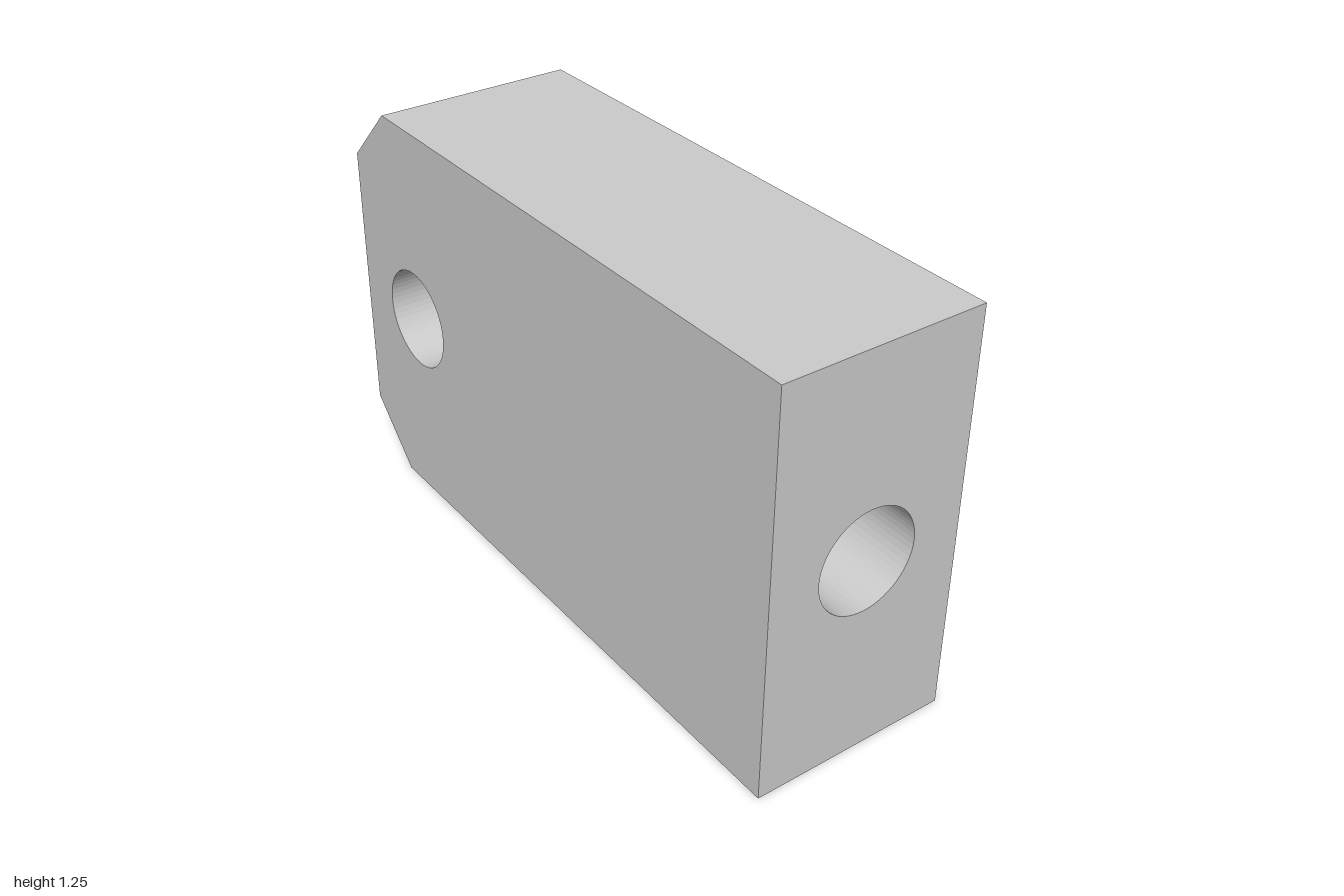
import * as THREE from 'three';
import { mergeGeometries } from 'three/addons/utils/BufferGeometryUtils.js';

const HEIGHT = 1.25, DEPTH = 0.625, CHAMFER = 0.1875;
const MID = HEIGHT / 2, RADIUS = 0.157;
const BORE_END = 0; // x where the blind bore stops

// Outline with one round hole, extruded
function drilledPlate(outline, holeX, depth) {
  const shape = new THREE.Shape(outline.map(([x, y]) => new THREE.Vector2(x, y)));
  const hole = new THREE.Path();
  hole.absarc(holeX, MID, RADIUS, 0, Math.PI * 2, true);
  shape.holes.push(hole);
  return new THREE.ExtrudeGeometry(shape, { depth, bevelEnabled: false, curveSegments: 28 });
}

// Remove the triangles lying in the plane where the two halves join
function openAtJoin(geometry) {
  const g = geometry.index ? geometry.toNonIndexed() : geometry;
  const p = g.attributes.position, keep = [];
  for (let i = 0; i < p.count; i += 3) {
    const inJoin = [0, 1, 2].every(k => Math.abs(p.getX(i + k) - BORE_END) < 1e-5);
    if (!inJoin) keep.push(i, i + 1, i + 2);
  }
  g.clearGroups();
  g.setIndex(keep);
  return g.toNonIndexed();
}

export function createModel() {
  const group = new THREE.Group();
  group.name = 'drilledBlock';
  const material = new THREE.MeshStandardMaterial({ color: 0xcccccc });

  // Chamfered half with the cross hole through front and back
  const chamferedHalf = drilledPlate([
    [-1 + CHAMFER, 0], [BORE_END, 0], [BORE_END, HEIGHT],
    [-1 + CHAMFER, HEIGHT], [-1, HEIGHT - CHAMFER], [-1, CHAMFER],
  ], -0.6875, DEPTH).translate(0, 0, -DEPTH / 2);

  // Square half with the bore entering from the end face
  const boredHalf = drilledPlate([
    [-DEPTH / 2, 0], [DEPTH / 2, 0], [DEPTH / 2, HEIGHT], [-DEPTH / 2, HEIGHT],
  ], 0, 1 - BORE_END).rotateY(Math.PI / 2).translate(BORE_END, 0, 0);

  const block = new THREE.Mesh(
    mergeGeometries([openAtJoin(chamferedHalf), openAtJoin(boredHalf)]), material);
  block.name = 'block';
  group.add(block);

  // Flat bottom of the blind bore
  const floor = new THREE.Mesh(new THREE.CircleGeometry(RADIUS, 56), material);
  floor.name = 'boreFloor';
  floor.rotation.y = Math.PI / 2;
  floor.position.set(BORE_END, MID, 0);
  group.add(floor);

  return group;
}
